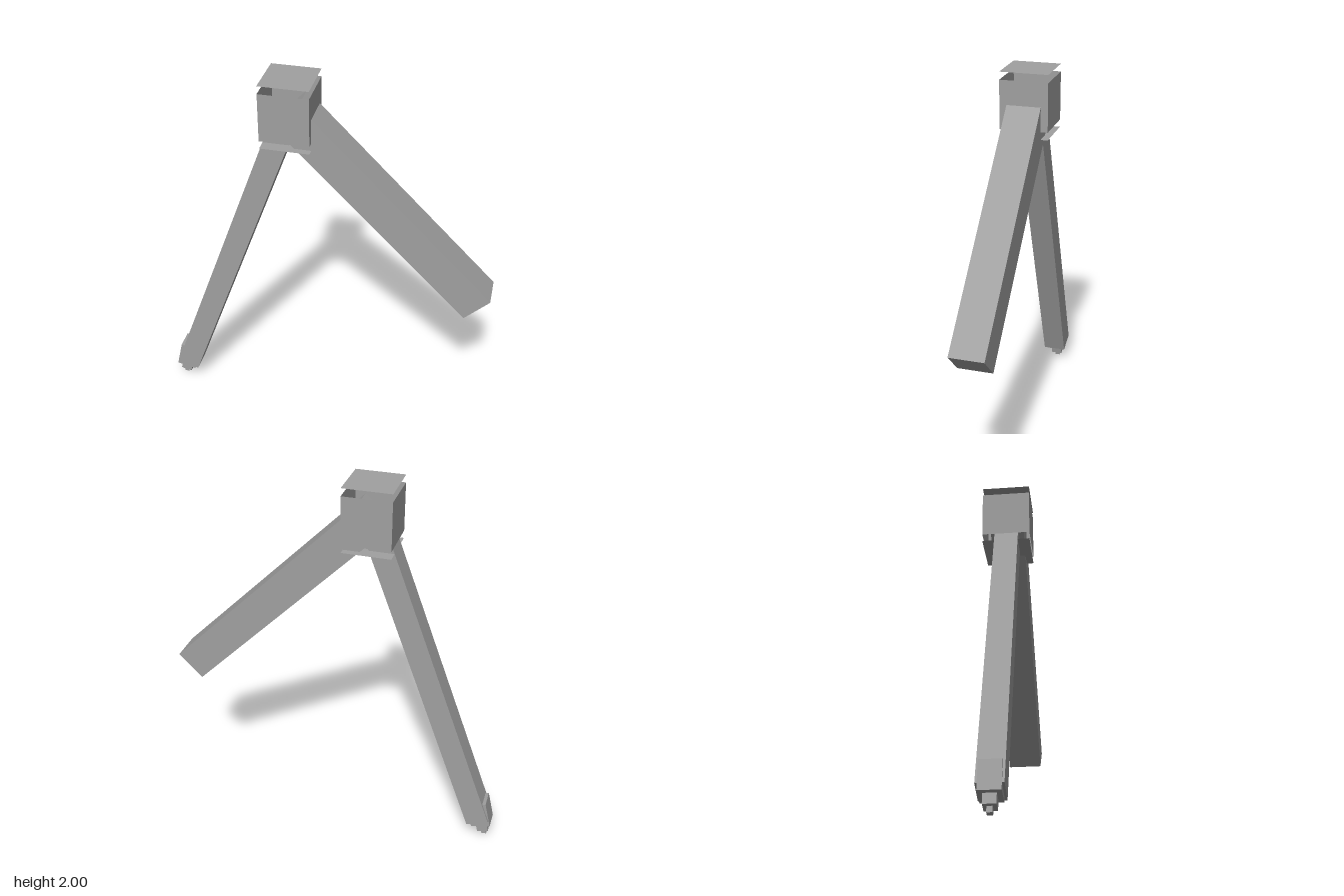
import * as THREE from 'three';

export function createModel() {
  const model = new THREE.Group();
  const grey = new THREE.MeshStandardMaterial({ color: 0xa0a0a0, side: THREE.DoubleSide });
  grey.name = 'grey';

  function add(name, geometry, parent) {
    const mesh = new THREE.Mesh(geometry, grey);
    mesh.name = name;
    parent.add(mesh);
    return mesh;
  }

  // Hinge: four walls, with the top and bottom panels standing clear of them
  const size = 0.25;
  const hinge = new THREE.Group();
  hinge.name = 'hinge';
  hinge.position.set(-0.175, 1.835, 0);
  model.add(hinge);
  for (let i = 0; i < 4; i++) {
    const wall = add('hingeWall', new THREE.PlaneGeometry(size, size), hinge);
    wall.rotation.y = i * Math.PI / 2;
    wall.position.set(0, 0, size / 2).applyEuler(wall.rotation);
  }
  for (const s of [1, -1]) {
    const panel = add(s > 0 ? 'topPanel' : 'bottomPanel', new THREE.PlaneGeometry(size, size), hinge);
    panel.rotation.x = -s * Math.PI / 2;
    panel.position.y = s * 0.165;
  }

  // Square limbs hanging from the hinge centre
  function limb(name, width, depth, length, degrees) {
    const geometry = new THREE.BoxGeometry(width, length, depth);
    geometry.translate(0, -length / 2, 0);
    add(name, geometry, hinge).rotation.z = THREE.MathUtils.degToRad(degrees);
  }
  limb('arm', 0.177, 0.177, 1.4, 45);
  limb('leg', 0.122, 0.125, 1.84, -20.3);

  // Stepped foot, partly set into the end of the leg
  const foot = new THREE.Group();
  foot.name = 'foot';
  foot.position.set(-0.832, 0.083, 0);
  foot.rotation.z = THREE.MathUtils.degToRad(-13);
  model.add(foot);
  const steps = [
    ['footBlock', 0.104, 0.15, 0],
    ['footNeck', 0.06, 0.052, -0.052],
    ['footTip', 0.026, 0.03, -0.082],
  ];
  for (const [name, width, height, bottom] of steps) {
    add(name, new THREE.BoxGeometry(width, height, width), foot).position.y = bottom + height / 2;
  }
  return model;
}
